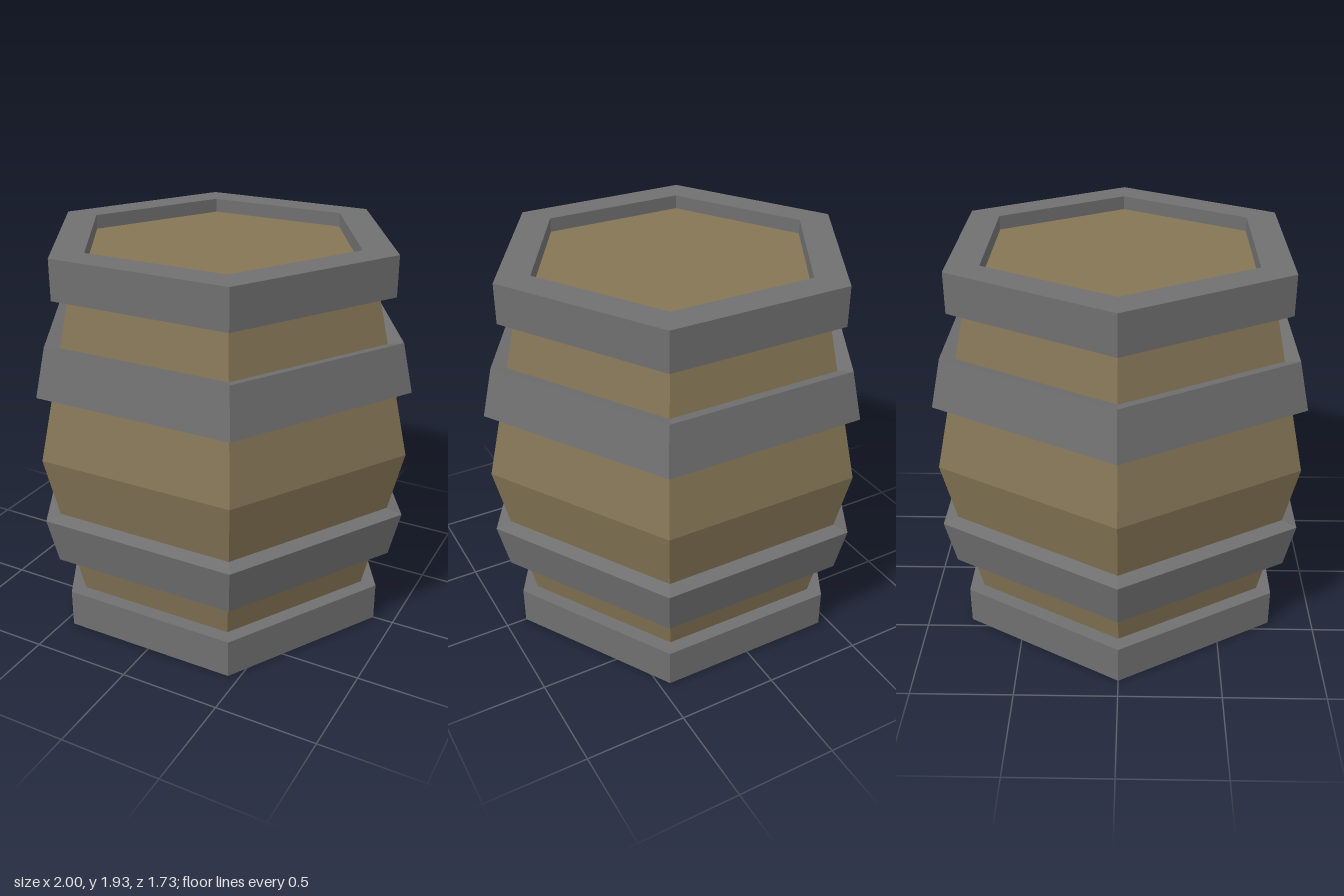
import * as THREE from 'three';

const HEIGHT = 1.93;
const MID = HEIGHT / 2;

const wood = new THREE.MeshStandardMaterial({ color: 0x857556, flatShading: true });
const iron = new THREE.MeshStandardMaterial({ color: 0x707070, flatShading: true });

// Six-sided solid of revolution with corners on the x axis; the profile runs
// up the outside (and down the inside for rings).
function hexLathe(name, profile, material) {
  const points = profile.map(([r, y]) => new THREE.Vector2(r, y));
  const mesh = new THREE.Mesh(new THREE.LatheGeometry(points, 6, Math.PI / 2), material);
  mesh.name = name;
  return mesh;
}

// Closed ring, plus its mirror image about the middle of the barrel.
function hoopPair(name, section) {
  const closed = [...section, section[0]];
  const flipped = section.map(([r, y]) => [r, HEIGHT - y]).reverse();
  return [
    hexLathe('lower' + name, closed, iron),
    hexLathe('upper' + name, [...flipped, flipped[0]], iron),
  ];
}

export function createModel() {
  const barrel = new THREE.Group();
  barrel.name = 'barrel';

  // Bulging wooden body with lids recessed inside the end hoops
  const recess = 0.07;
  const endRadius = 0.785;
  barrel.add(hexLathe('woodenBody', [
    [0, recess], [endRadius, recess], [0.995, MID],
    [endRadius, HEIGHT - recess], [0, HEIGHT - recess],
  ], wood));

  // Upright end hoops
  barrel.add(...hoopPair('EndHoop', [[0.72, 0], [0.895, 0], [0.895, 0.195], [0.72, 0.195]]));

  // Middle hoops, tilted to follow the slope of the staves
  barrel.add(...hoopPair('MiddleHoop', [[0.86, 0.425], [0.945, 0.405], [1.0, 0.64], [0.915, 0.66]]));

  return barrel;
}
